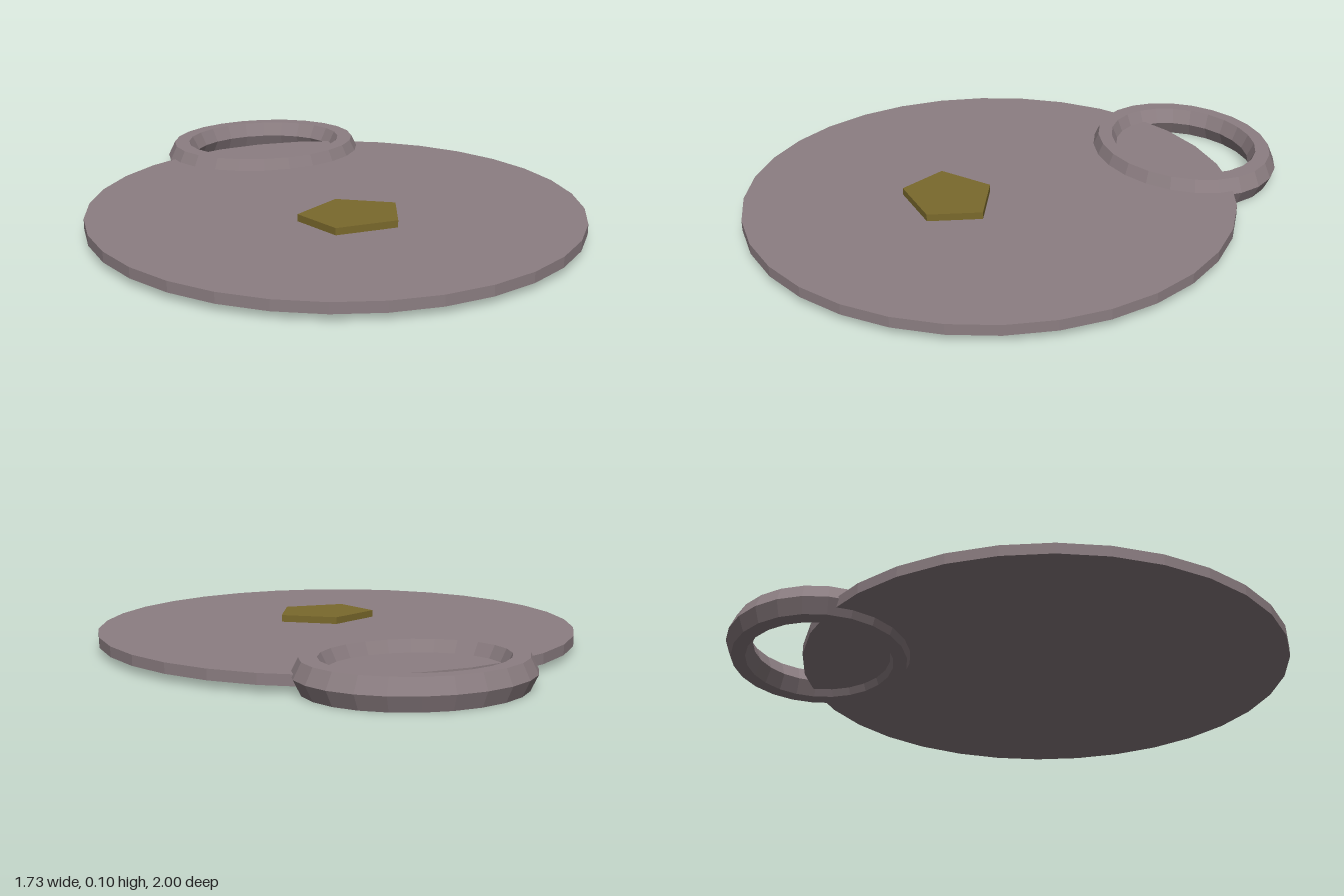
import * as THREE from 'three';

export function createModel() {
  const model = new THREE.Group();
  const metal = new THREE.MeshStandardMaterial({ color: 0x8c7e82, flatShading: true });
  metal.name = 'greyMetal';
  const brass = new THREE.MeshStandardMaterial({ color: 0x7a692c, flatShading: true });
  brass.name = 'darkBrass';

  const add = (name, geometry, material, z) => {
    const mesh = new THREE.Mesh(geometry, material);
    mesh.name = name;
    mesh.position.z = z;
    model.add(mesh);
  };

  // Upright prism between two heights, with one corner pointing to the back
  const prism = (radius, sides, bottom, top, depthScale = 1) =>
    new THREE.CylinderGeometry(radius, radius, top - bottom, sides)
      .rotateY(Math.PI)
      .scale(1, 1, depthScale)
      .translate(0, (bottom + top) / 2, 0);

  // Flat round plate
  add('disc', prism(0.866, 32, 0.025, 0.062), metal, 0.13);

  // Pentagonal stud on the plate
  add('pentagonStud', prism(0.189, 5, 0.05, 0.087, 0.84), brass, 0.289);

  // Oval hanging ring with a hexagonal section
  const section = [
    [0.28, 0.052], [0.307, 0], [0.365, 0], [0.391, 0.052],
    [0.365, 0.104], [0.307, 0.104], [0.28, 0.052],
  ].map(([x, y]) => new THREE.Vector2(x, y));
  add('hangingRing', new THREE.LatheGeometry(section, 24).scale(1, 1, 0.83), metal, -0.675);

  return model;
}
